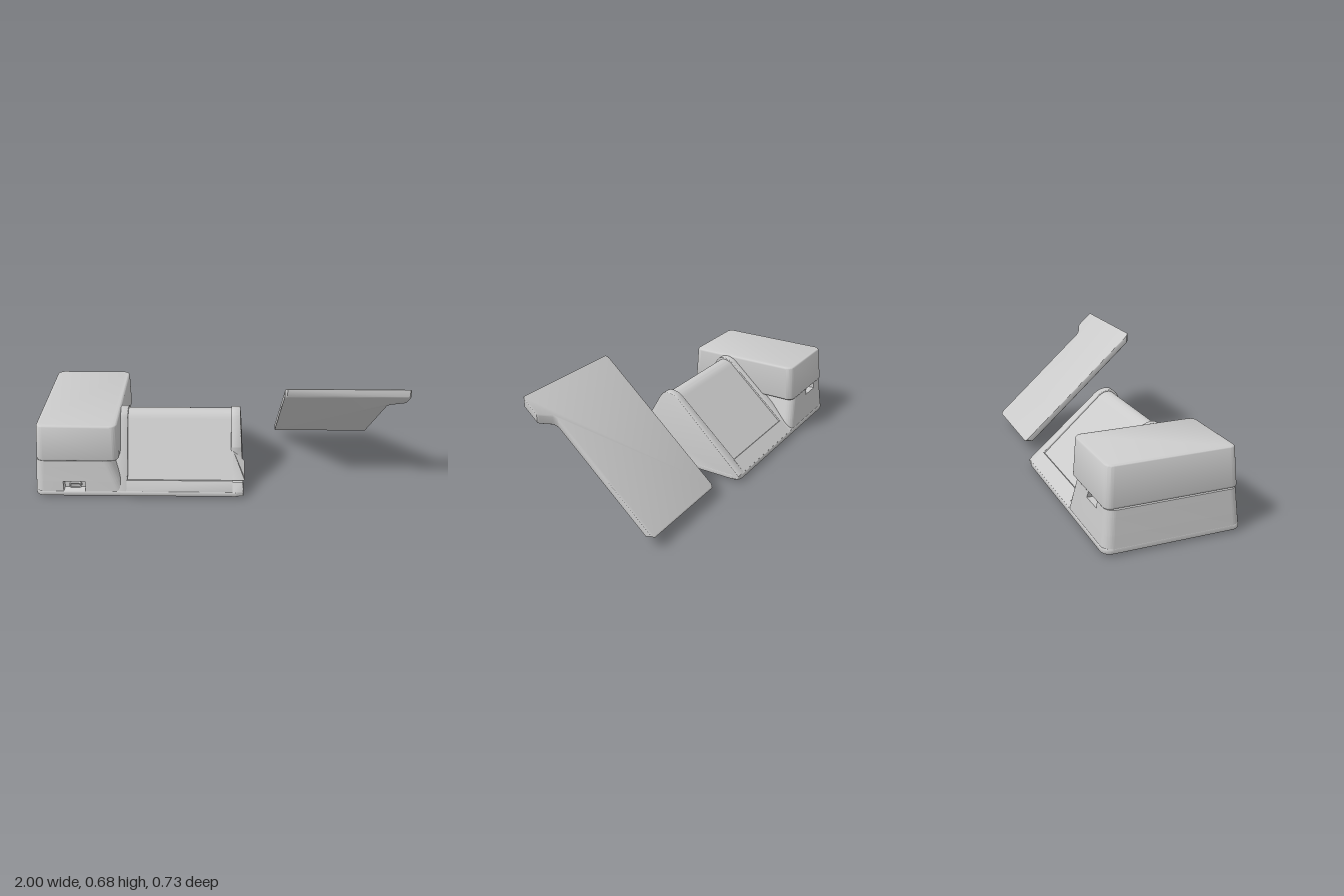
import * as THREE from 'three';
import { toCreasedNormals } from 'three/addons/utils/BufferGeometryUtils.js';

const material = new THREE.MeshStandardMaterial({ color: 0xcccccc });

// Add a mesh, optionally moving its vertices by a rule first
function add(group, name, geo, rule) {
  if (rule) {
    const p = geo.attributes.position, v = new THREE.Vector3();
    for (let i = 0; i < p.count; i++) {
      rule(v.fromBufferAttribute(p, i));
      p.setXYZ(i, v.x, v.y, v.z);
    }
  }
  const mesh = new THREE.Mesh(toCreasedNormals(geo, 0.6), material);
  mesh.name = name;
  group.add(mesh);
  return mesh;
}

// Rounded rectangle seen from above, with optional notches in front and back edges
function plan(x0, x1, z0, z1, r, front, back) {
  const s = new THREE.Shape(), a = -z1, b = -z0;
  s.moveTo(x0 + r, a);
  if (front) {
    const [l, h, d] = front;
    s.lineTo(l, a); s.lineTo(l, a + d); s.lineTo(h, a + d); s.lineTo(h, a);
  }
  s.lineTo(x1 - r, a);
  s.absarc(x1 - r, a + r, r, -Math.PI / 2, 0);
  s.lineTo(x1, b - r);
  s.absarc(x1 - r, b - r, r, 0, Math.PI / 2);
  if (back) {
    const [l, h, d] = back;
    s.lineTo(h, b); s.lineTo(h, b - d); s.lineTo(l, b - d); s.lineTo(l, b);
  }
  s.lineTo(x0 + r, b);
  s.absarc(x0 + r, b - r, r, Math.PI / 2, Math.PI);
  s.lineTo(x0, a + r);
  s.absarc(x0 + r, a + r, r, Math.PI, Math.PI * 1.5);
  return s;
}

function extrude(shape, length, bevel) {
  const geo = new THREE.ExtrudeGeometry(shape, {
    depth: length - 2 * bevel, bevelEnabled: bevel > 0, bevelSize: bevel,
    bevelThickness: bevel, bevelOffset: -bevel, bevelSegments: 4, curveSegments: 10,
  });
  return geo.translate(0, 0, bevel);
}

// Extrude a plan upwards from y0 to y1
const slab = (shape, y0, y1, bevel = 0) =>
  extrude(shape, y1 - y0, bevel).rotateX(-Math.PI / 2).translate(0, y0, 0);

// Extrude a (z, y) side profile along x
const section = (shape, x0, x1, bevel = 0) =>
  extrude(shape, x1 - x0, bevel).rotateY(Math.PI / 2).translate(x0, 0, 0);

// Side profile of the wedge: front points, rounded ridge, back points
function profile(front, ridge, back) {
  const s = new THREE.Shape();
  s.moveTo(0.36, 0.015);
  s.lineTo(0.362, 0.04);
  front.forEach(([z, y]) => s.lineTo(z, y));
  const [a, b, c, d, e] = ridge;
  s.lineTo(...a);
  s.quadraticCurveTo(...b, ...c);
  s.quadraticCurveTo(...d, ...e);
  back.forEach(([z, y]) => s.lineTo(z, y));
  s.lineTo(-0.362, 0.04);
  s.lineTo(-0.36, 0.015);
  const pts = s.getPoints(8).map((p) => new THREE.Vector2(-p.x, p.y));
  return new THREE.Shape(pts);
}

export function createModel() {
  const model = new THREE.Group();
  model.name = 'deskStand';

  // Plinth and feet
  add(model, 'plinth', slab(plan(-1, 0.15, -0.365, 0.365, 0.05), 0.01, 0.04, 0.006));
  for (const x of [-0.88, 0.03]) {
    add(model, 'roundFoot', new THREE.CylinderGeometry(0.07, 0.07, 0.015, 40).translate(x, 0.0075, -0.267));
  }
  add(model, 'frontFootStrip', slab(plan(-0.93, 0.08, 0.25, 0.335, 0.04), 0, 0.015));
  add(model, 'backFootStrip', slab(plan(-0.77, -0.12, -0.31, -0.225, 0.04), 0, 0.015));
  add(model, 'baseButton', slab(plan(-0.155, -0.075, 0.14, 0.18, 0.019), 0.005, 0.015));

  // Lower housing: stacked layers leaning inwards, with a port bay and a rear slot
  const lean = (v) => {
    const h = Math.max(0, v.y - 0.035);
    v.z *= 1 - h * 0.28;
    v.x += v.x < -0.75 ? h * 0.08 : -h * 0.35;
  };
  const layers = [
    [0.03, 0.1, [-0.84, -0.72, 0.045], null],
    [0.1, 0.19, null, null],
    [0.19, 0.225, null, [-0.88, -0.69, 0.04]],
  ];
  const housing = new THREE.Group();
  housing.name = 'lowerHousing';
  model.add(housing);
  for (const [y0, y1, front, back] of layers) {
    const geo = slab(plan(-1, -0.5, -0.363, 0.363, 0.05, front, back), y0, y1);
    add(housing, 'housingLayer', geo, (v) => {
      const h = Math.max(0, v.y - 0.035);
      // The port bay keeps straight sides
      if (front && v.x > -0.85 && v.x < -0.71) v.z *= 1 - h * 0.28;
      else lean(v);
    });
  }
  const ring = plan(-0.815, -0.745, -0.07, -0.042, 0.0135);
  ring.holes.push(plan(-0.808, -0.752, -0.064, -0.048, 0.0075));
  add(model, 'portRing', extrude(ring, 0.02, 0).translate(0, 0, 0.31));

  // Upper block
  add(model, 'upperBlock', slab(plan(-0.98, -0.53, -0.35, 0.35, 0.04), 0.225, 0.435, 0.012), (v) => {
    const h = v.y - 0.225;
    v.z *= 1 - h * 0.2;
    if (v.x < -0.75) v.x += h * 0.08;
  });

  // Wedge: two raised side rims around a slightly sunken panel
  const ridge = [[0.168, 0.39], [0.146, 0.43], [0.11, 0.43], [0.075, 0.43], [0.045, 0.407]];
  const lowRidge = [[0.157, 0.382], [0.136, 0.42], [0.105, 0.42], [0.07, 0.42], [0.04, 0.389]];
  const slot = [[0.334, 0.09], [0.318, 0.07], [0.275, 0.076], [0.236, 0.17], [0.242, 0.257]];
  const panel = [[0.332, 0.094], [0.318, 0.09]];
  const sideLean = (v) => { if (v.x > 0.1) v.x -= Math.max(0, v.y - 0.035) * 0.05; };
  add(model, 'leftRim', section(profile([], ridge, []), -0.555, -0.49, 0.006));
  add(model, 'rightRim', section(profile(slot, ridge, []), 0.08, 0.15, 0.006), sideLean);
  add(model, 'sunkenPanel', section(
    profile(panel, lowRidge, [[-0.288, 0.092], [-0.298, 0.1]]), -0.5, 0.09));

  // Panel tab that passes through the slot in the right rim
  const tabPoints = [[0.318, 0.09], [0.236, 0.238], [0.238, 0.17], [0.285, 0.087]];
  const tab = new THREE.Shape(tabPoints.map(([z, y]) => new THREE.Vector2(-z, y)));
  add(model, 'panelTab', section(tab, 0.07, 0.155, 0.004), (v) => {
    v.x = Math.min(v.x, 0.155 - Math.max(0, v.y - 0.18) * 1.2);
  });

  // Detached cover: a sloping plate with a corner tab at its upper end
  const cover = new THREE.Shape([
    [0.365, -0.356], [0.99, -0.356], [0.998, -0.348], [0.998, -0.275], [0.99, -0.268],
    [0.925, -0.24], [0.912, -0.222], [0.912, 0.31], [0.9, 0.322], [0.365, 0.322],
    [0.352, 0.31], [0.352, -0.344],
  ].map(([x, y]) => new THREE.Vector2(x, y)));
  add(model, 'coverPlate', slab(cover, 0, 0.05, 0.006), (v) => {
    const y = v.y + 0.312 + 0.9 * v.z;
    // The low end is cut level
    if (y < 0.065) {
      v.z = Math.min(-0.275, v.z + (0.065 - y) / 0.9);
      v.y = 0.065;
    } else v.y = y;
  });

  return model;
}
